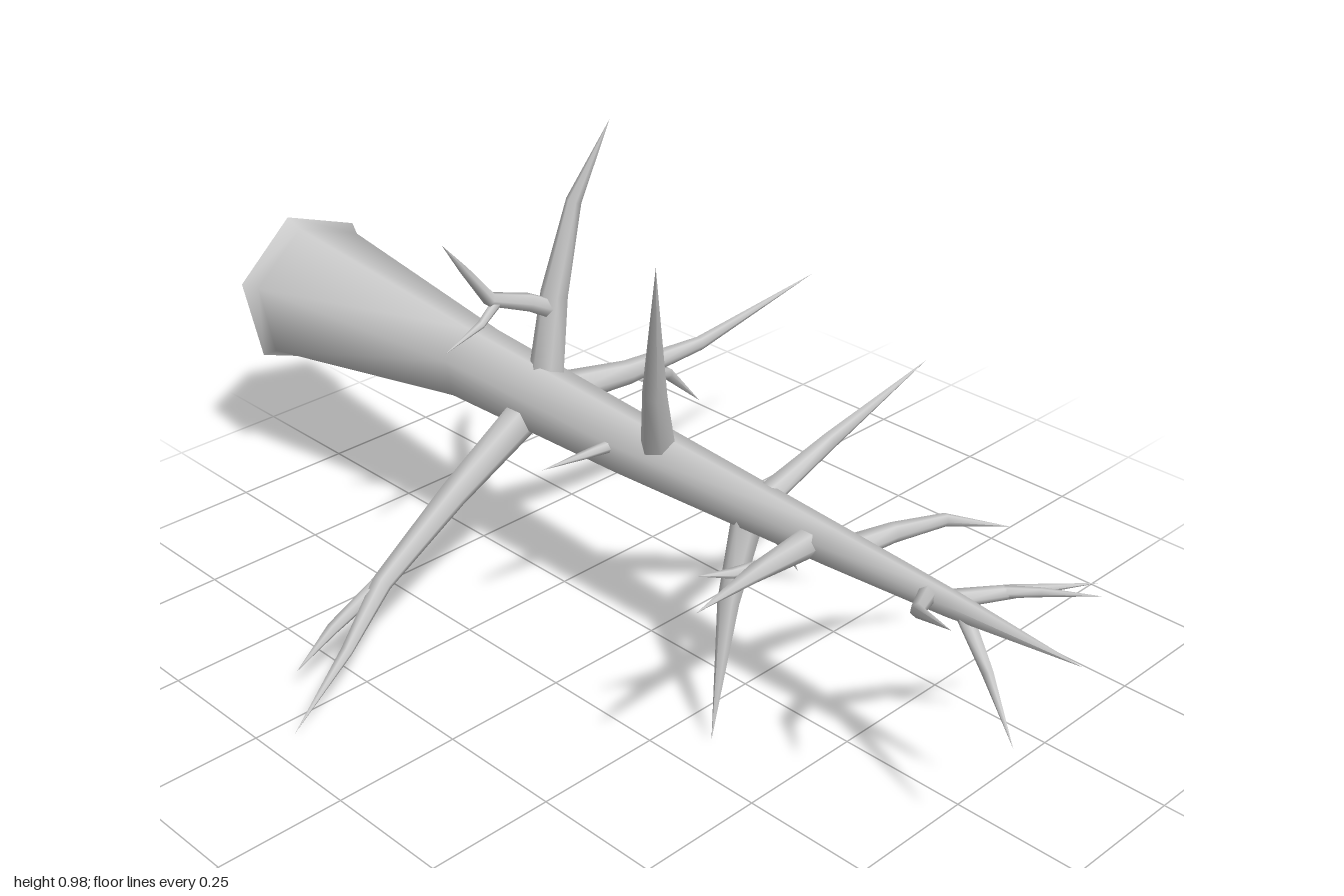
import * as THREE from 'three';

const material = new THREE.MeshStandardMaterial({ color: 0xcccccc, side: THREE.DoubleSide });

// Tapered six-sided limb through stations [x, y, z, radius]; the base end stays open
function limb(name, stations, sides = 6, turn = 0) {
  const points = stations.map(([x, y, z]) => new THREE.Vector3(x, y, z));
  const last = points.length - 1;
  const axis = points[last].clone().sub(points[0]).normalize();
  const ref = Math.abs(axis.x) < 0.7 ? new THREE.Vector3(1, 0, 0) : new THREE.Vector3(0, 0, 1);
  const pos = [], index = [];
  points.forEach((p, i) => {
    const t = points[Math.min(i + 1, last)].clone().sub(points[Math.max(i - 1, 0)]).normalize();
    const u = ref.clone().addScaledVector(t, -ref.dot(t)).normalize();
    const v = t.clone().cross(u);
    const r = stations[i][3];
    for (let j = 0; j < sides; j++) {
      const a = turn + (j / sides) * Math.PI * 2;
      const q = p.clone().addScaledVector(u, r * Math.cos(a)).addScaledVector(v, r * Math.sin(a));
      pos.push(q.x, q.y, q.z);
      if (i < last) {
        const k = (j + 1) % sides, row = i * sides, next = row + sides;
        index.push(row + j, row + k, next + j);
        if (i < last - 1) index.push(row + k, next + k, next + j);
      }
    }
  });
  const geometry = new THREE.BufferGeometry();
  geometry.setAttribute('position', new THREE.Float32BufferAttribute(pos, 3));
  geometry.setIndex(index);
  geometry.computeVertexNormals();
  const mesh = new THREE.Mesh(geometry, material);
  mesh.name = name;
  return mesh;
}

export function createModel() {
  const group = new THREE.Group();
  group.name = 'thornyBranch';

  // Main stem with flared, open base
  group.add(limb('stem', [
    [-0.045, 0.43, -1, 0.172], [-0.045, 0.432, -0.97, 0.153], [-0.043, 0.447, -0.45, 0.079],
    [-0.045, 0.437, 0, 0.061], [-0.055, 0.44, 0.5, 0.037], [-0.06, 0.443, 0.75, 0.023],
    [-0.06, 0.445, 1, 0],
  ], 6, THREE.MathUtils.degToRad(40)));

  // Large side branches, each followed by its twigs
  const branches = {
    upperBranch: [[-0.035, 0.46, -0.255, 0.036], [-0.01, 0.65, -0.25, 0.027], [0.03, 0.83, -0.235, 0.015], [0.085, 0.985, -0.195, 0]],
    upperTwig: [[-0.015, 0.62, -0.25, 0.02], [-0.07, 0.65, -0.255, 0.018], [-0.155, 0.68, -0.265, 0.014], [-0.225, 0.765, -0.25, 0.008], [-0.292, 0.84, -0.225, 0]],
    upperTwigFork: [[-0.14, 0.67, -0.262, 0.01], [-0.19, 0.645, -0.25, 0.008], [-0.285, 0.62, -0.24, 0]],
    leftBranch: [[-0.03, 0.45, -0.25, 0.036], [0.15, 0.44, -0.22, 0.024], [0.34, 0.443, -0.208, 0.014], [0.69, 0.485, -0.217, 0]],
    leftTwig: [[0.18, 0.43, -0.215, 0.018], [0.28, 0.385, -0.24, 0.013], [0.402, 0.27, -0.266, 0]],
    rightBranch: [[-0.05, 0.43, -0.265, 0.038], [-0.25, 0.3, -0.28, 0.028], [-0.43, 0.185, -0.277, 0.02], [-0.55, 0.11, -0.235, 0.012], [-0.697, 0.015, -0.205, 0]],
    rightTwig: [[-0.4, 0.2, -0.278, 0.018], [-0.54, 0.13, -0.288, 0.012], [-0.62, 0.065, -0.3, 0]],
    lowerLeftBranch: [[-0.04, 0.44, 0.065, 0.036], [0.1, 0.32, 0.08, 0.03], [0.23, 0.2, 0.085, 0.02], [0.3, 0.11, 0.07, 0.011], [0.365, 0.01, 0.054, 0]],
    lowerLeftTwig: [[0.21, 0.22, 0.085, 0.018], [0.27, 0.15, 0.105, 0.012], [0.34, 0.075, 0.145, 0]],
    upperRightBranch: [[-0.05, 0.45, 0.07, 0.035], [-0.12, 0.62, 0.13, 0.023], [-0.23, 0.925, 0.243, 0]],
    lowerSpike: [[-0.055, 0.43, 0.3, 0.03], [-0.105, 0.26, 0.3, 0.02], [-0.18, 0.02, 0.336, 0]],
    leftSpike: [[-0.05, 0.44, 0.31, 0.025], [0.12, 0.51, 0.327, 0.016], [0.355, 0.597, 0.35, 0]],
    rightSpike: [[-0.055, 0.435, 0.45, 0.028], [-0.24, 0.46, 0.48, 0.016], [-0.42, 0.486, 0.525, 0]],
    rightSpikeTwig: [[-0.21, 0.46, 0.475, 0.012], [-0.27, 0.465, 0.46, 0.009], [-0.33, 0.475, 0.438, 0]],
    leftBentSpike: [[-0.055, 0.44, 0.515, 0.024], [0.05, 0.44, 0.535, 0.018], [0.16, 0.43, 0.56, 0.012], [0.285, 0.385, 0.608, 0]],
    sideThorn: [[-0.06, 0.445, -0.015, 0.014], [-0.16, 0.455, -0.013, 0.008], [-0.262, 0.465, -0.01, 0]],
    underThorn: [[-0.03, 0.41, -0.355, 0.012], [0, 0.34, -0.37, 0.007], [0.04, 0.28, -0.38, 0]],
    // Small spray around the tip
    tipRightTwig: [[-0.06, 0.443, 0.7, 0.017], [-0.16, 0.48, 0.755, 0.012], [-0.235, 0.535, 0.877, 0]],
    tipLeftTwig: [[-0.06, 0.443, 0.73, 0.017], [0.05, 0.435, 0.785, 0.012], [0.18, 0.43, 0.865, 0]],
    tipLeftFork: [[0.035, 0.437, 0.775, 0.011], [0.07, 0.445, 0.83, 0.008], [0.108, 0.46, 0.917, 0]],
    tipLowerTwig: [[-0.06, 0.44, 0.77, 0.015], [-0.085, 0.37, 0.845, 0.01], [-0.12, 0.285, 0.93, 0]],
  };
  for (const [name, stations] of Object.entries(branches)) group.add(limb(name, stations));

  return group;
}
